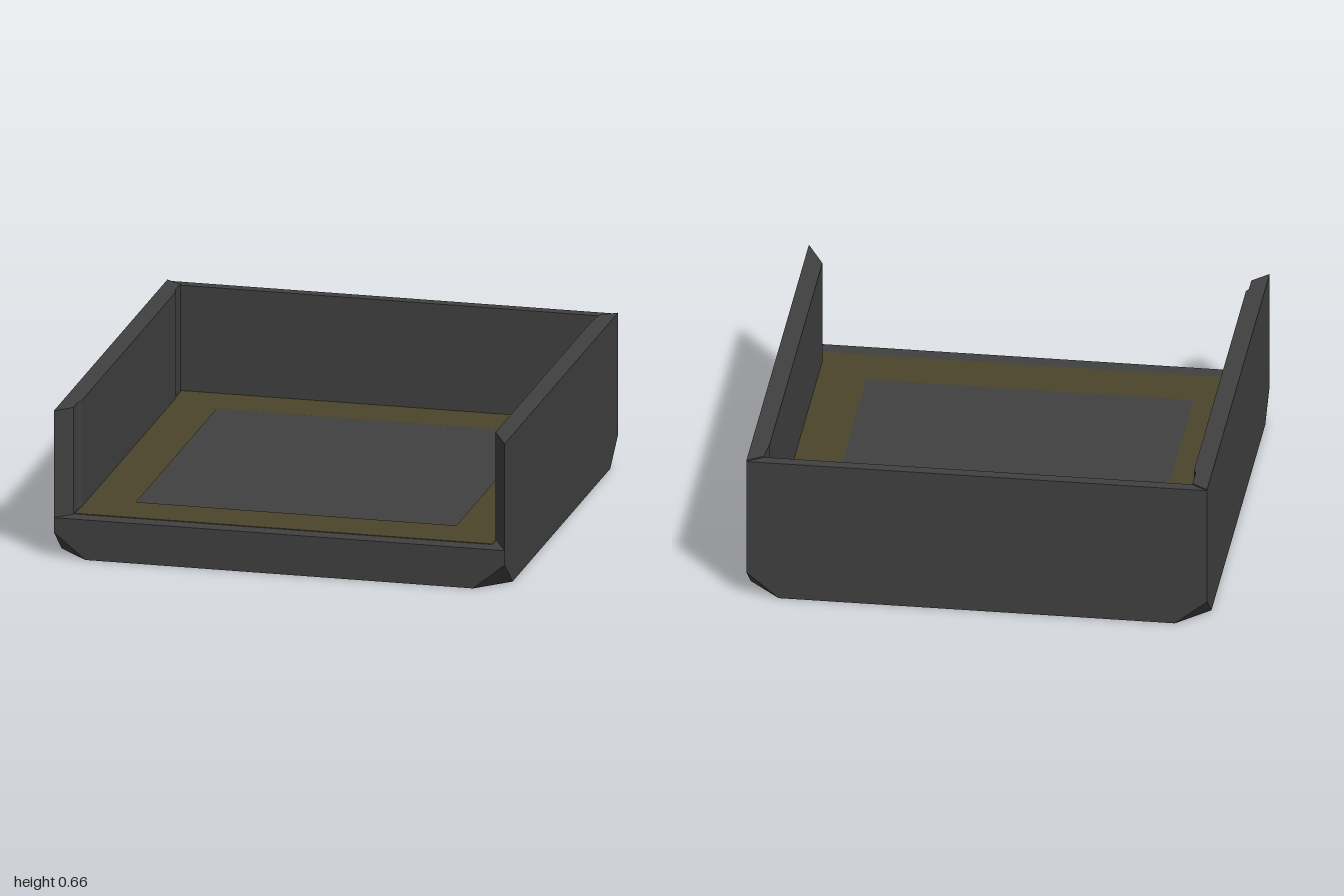
import * as THREE from 'three';
import { ConvexGeometry } from 'three/addons/geometries/ConvexGeometry.js';

const RIM = 0.115, FLOOR = 0.18, TOP = 0.66, CUT = 0.86;

const dark = new THREE.MeshStandardMaterial({ color: 0x404040, flatShading: true });
const olive = new THREE.MeshStandardMaterial({ color: 0x4a452a, flatShading: true });

// Upright prism from a floor plan given as [x, z] points
function prism(name, plan, y0, y1, material, hole) {
  const toV = ([x, z]) => new THREE.Vector2(x, -z);
  const shape = new THREE.Shape(plan.map(toV));
  if (hole) shape.holes.push(new THREE.Path(hole.map(toV)));
  const geo = new THREE.ExtrudeGeometry(shape, { depth: y1 - y0, bevelEnabled: false });
  geo.rotateX(-Math.PI / 2).translate(0, y0, 0);
  const mesh = new THREE.Mesh(geo, material);
  mesh.name = name;
  return mesh;
}

const rect = (x0, x1, z0, z1) => [[x0, z0], [x1, z0], [x1, z1], [x0, z1]];

export function createModel() {
  const group = new THREE.Group();
  group.name = 'openTray';

  // Base block with its four lower corners cut off
  const points = [];
  for (const x of [-1, 1]) for (const z of [-1, 1]) {
    points.push(
      new THREE.Vector3(x, FLOOR, z), new THREE.Vector3(x, RIM, z),
      new THREE.Vector3(x * CUT, 0, z), new THREE.Vector3(x, 0, z * CUT));
  }
  const base = new THREE.Mesh(new ConvexGeometry(points), dark);
  base.name = 'base';
  group.add(base);

  // Walls on three sides, the front stays open
  group.add(prism('backWall',
    [[-1, -1], [1, -1], [0.93, -0.95], [-0.93, -0.95]], FLOOR, TOP - 0.005, dark));
  group.add(prism('leftWall',
    [[1, 1], [0.92, 0.84], [0.92, -0.84], [0.93, -0.95], [1, -1]], FLOOR, TOP, dark));
  group.add(prism('rightWall',
    [[-1, 1], [-0.93, 0.93], [-0.93, 0.85], [-0.92, 0.83], [-0.92, -0.83],
      [-0.93, -0.85], [-0.93, -0.95], [-1, -1]], FLOOR, TOP, dark));

  // Coloured border band on the floor
  group.add(prism('floorBorder', rect(-0.925, 0.925, -0.945, 0.925),
    FLOOR, FLOOR + 0.003, olive, rect(-0.71, 0.71, -0.72, 0.7)));

  return group;
}
